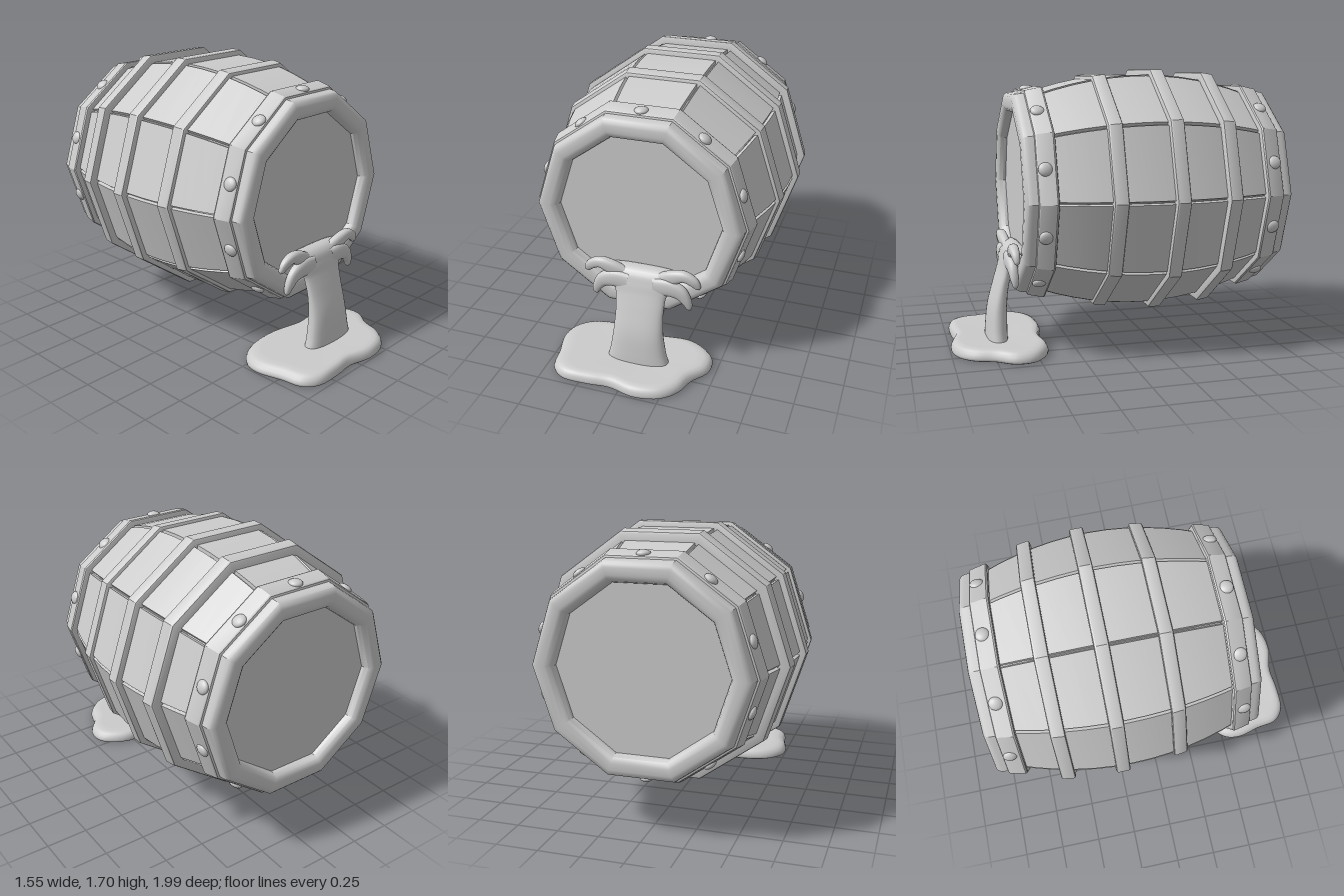
import * as THREE from 'three';
import { toCreasedNormals } from 'three/addons/utils/BufferGeometryUtils.js';

const material = new THREE.MeshStandardMaterial({ color: 0xcccccc });
const SIDES = 10, STEP = Math.PI / 5, HALF = Math.PI / 10;
const CENTRE_Y = 0.962, CENTRE_Z = -0.195;

function add(parent, geometry, name) {
  const mesh = new THREE.Mesh(geometry, material);
  mesh.name = name;
  parent.add(mesh);
  return mesh;
}

// Bulge of the barrel: distance from the axis to the middle of a stave
const apothem = (z) => 0.705 - 0.265 * z * z;

// Ten-sided ring around the z axis; profile points are [corner radius, z]
function decagon(profile) {
  const points = profile.map(([r, z]) => new THREE.Vector2(r, z));
  const g = new THREE.LatheGeometry(points, SIDES, Math.PI / 2).rotateX(Math.PI / 2);
  return toCreasedNormals(g, 0.6);
}

// Smooth skin over a list of rings with equal point counts
function loft(rings) {
  const n = rings[0].length, index = [];
  for (let i = 0; i < rings.length - 1; i++) {
    for (let j = 0; j < n; j++) {
      const a = i * n + j, b = i * n + (j + 1) % n;
      index.push(a, b, b + n, a, b + n, a + n);
    }
  }
  const g = new THREE.BufferGeometry().setFromPoints(rings.flat());
  g.setIndex(index);
  g.computeVertexNormals();
  return g;
}

// Oval sweep; stations are [x, y, z, radius along the hint axis, other radius]
function sweep(stations, hint, steps = 28, sides = 20) {
  const path = new THREE.CatmullRomCurve3(stations.map((s) => new THREE.Vector3(s[0], s[1], s[2])));
  const size = new THREE.CatmullRomCurve3(stations.map((s) => new THREE.Vector3(s[3], s[4], 0)));
  const rings = [];
  for (let i = 0; i <= steps; i++) {
    const t = i / steps, p = path.getPoint(t), s = size.getPoint(t), dir = path.getTangent(t);
    const u = hint.clone().addScaledVector(dir, -hint.dot(dir)).normalize();
    const v = dir.clone().cross(u);
    const ring = [];
    for (let j = 0; j < sides; j++) {
      const a = (j / sides) * Math.PI * 2, c = Math.cos(a), d = Math.sin(a);
      const box = (k) => Math.sign(k) * Math.abs(k) ** 0.8;
      ring.push(p.clone().addScaledVector(u, box(c) * s.x).addScaledVector(v, box(d) * s.y));
    }
    rings.push(ring);
  }
  return loft(rings);
}

function createBarrel() {
  const barrel = new THREE.Group();
  barrel.name = 'barrel';
  barrel.position.set(0, CENTRE_Y, CENTRE_Z);

  // Inner shell seen through the gaps between staves
  const shell = [];
  for (let i = 0; i <= 12; i++) {
    const z = -0.7 + (1.4 * i) / 12;
    shell.push([(apothem(z) - 0.022) / Math.cos(HALF), z]);
  }
  add(barrel, decagon(shell), 'innerShell');

  // Bowed staves, one per side
  const stave = new THREE.BoxGeometry(1, 0.04, 1.34, 1, 1, 12);
  const pos = stave.attributes.position;
  for (let i = 0; i < pos.count; i++) {
    const a = apothem(pos.getZ(i));
    pos.setX(i, Math.sign(pos.getX(i)) * (a * Math.tan(HALF) - 0.011));
    pos.setY(i, a + pos.getY(i) - 0.02);
  }
  const staveGeometry = toCreasedNormals(stave, 0.6);
  for (let i = 0; i < SIDES; i++) add(barrel, staveGeometry, 'stave').rotation.z = i * STEP;

  // Three hoops with softened edges, tilted along the bulge
  for (const [z, r, slope] of [[0.29, 0.739, -0.15], [-0.065, 0.774, 0], [-0.392, 0.749, 0.15]]) {
    const section = [[-0.07, -0.042], [-0.01, -0.042], [-0.003, -0.038], [0, -0.03],
      [0, 0.03], [-0.003, 0.038], [-0.01, 0.042], [-0.07, 0.042]];
    add(barrel, decagon(section.map(([d, w]) => [r + d + slope * w, z + w])), 'hoop');
  }

  // Matching ends: band, rounded lip, recessed head and rivets
  const rimGeometry = decagon([[0.58, 0.622], [0.655, 0.622], [0.664, 0.626], [0.668, 0.635],
    [0.648, 0.725], [0.642, 0.732], [0.63, 0.735], [0.627, 0.765], [0.62, 0.787], [0.605, 0.8],
    [0.585, 0.805], [0.545, 0.805], [0.525, 0.8], [0.51, 0.788], [0.5, 0.765], [0.497, 0.745]]);
  const head = new THREE.CircleGeometry(0.5, SIDES);
  const rivet = new THREE.SphereGeometry(1, 16, 10);
  for (const turn of [0, Math.PI]) {
    const end = new THREE.Group();
    end.name = turn ? 'backEnd' : 'frontEnd';
    end.rotation.y = turn;
    barrel.add(end);
    add(end, rimGeometry, 'rim');
    add(end, head, 'head').position.z = 0.747;
    for (let i = 0; i < SIDES; i++) {
      const a = HALF + i * STEP;
      const m = add(end, rivet, 'rivet');
      m.position.set(Math.cos(a) * 0.622, Math.sin(a) * 0.622, 0.688);
      m.scale.set(0.022, 0.04, 0.042);
      m.rotation.z = a;
    }
  }
  return barrel;
}

function createSpill() {
  const spill = new THREE.Group();
  spill.name = 'spill';
  const X = new THREE.Vector3(1, 0, 0), Z = new THREE.Vector3(0, 0, 1), MID = 0.035;

  // Puddle: wavy outline stacked into a low rounded slab
  const outline = new THREE.CatmullRomCurve3([[-0.5, 0.62], [-0.465, 0.77], [-0.44, 0.9],
    [-0.36, 0.965], [-0.2, 0.972], [-0.06, 0.96], [0.1, 0.995], [0.25, 0.965], [0.34, 0.88],
    [0.385, 0.76], [0.46, 0.65], [0.45, 0.53], [0.3, 0.43], [0.08, 0.44], [-0.15, 0.4],
    [-0.38, 0.43], [-0.48, 0.52]].map(([x, z]) => new THREE.Vector3(x, 0, z)), true)
    .getPoints(72).slice(0, 72);
  const layers = [[0.001, 0], [0.97, 0], [0.995, 0.006], [1, 0.02], [0.985, 0.04], [0.95, 0.058],
    [0.89, 0.067], [0.8, 0.069], [0.4, 0.064], [0.001, 0.062]];
  add(spill, loft(layers.map(([s, y]) => outline.map((p) =>
    new THREE.Vector3(p.x * s, y, 0.7 + (p.z - 0.7) * s)))), 'puddle');

  // Stream pouring over the lip
  add(spill, sweep([[MID, 0.03, 0.71, 0.2, 0.065], [MID, 0.12, 0.708, 0.175, 0.062],
    [MID, 0.25, 0.7, 0.155, 0.055], [MID, 0.38, 0.677, 0.148, 0.042],
    [MID, 0.48, 0.652, 0.155, 0.036], [MID, 0.55, 0.635, 0.19, 0.034],
    [MID, 0.605, 0.612, 0.225, 0.032], [MID, 0.62, 0.57, 0.22, 0.025],
    [MID, 0.61, 0.53, 0.15, 0.004]], X, 40, 28), 'stream');

  // Curling drips on both sides of the stream
  const drips = [
    [[0.12, 0.585, 0.615, 0.03, 0.05], [0.19, 0.625, 0.625, 0.032, 0.045],
      [0.26, 0.648, 0.63, 0.03, 0.034], [0.32, 0.62, 0.628, 0.024, 0.03],
      [0.345, 0.585, 0.625, 0.014, 0.018], [0.35, 0.573, 0.624, 0.001, 0.001]],
    [[0.08, 0.55, 0.64, 0.03, 0.06], [0.17, 0.56, 0.638, 0.034, 0.055],
      [0.24, 0.535, 0.636, 0.03, 0.045], [0.28, 0.48, 0.632, 0.024, 0.03],
      [0.294, 0.435, 0.628, 0.015, 0.017], [0.298, 0.42, 0.626, 0.001, 0.001]],
  ];
  for (const side of [-1, 1]) {
    for (const drip of drips) {
      add(spill, sweep(drip.map(([x, ...rest]) => [MID + side * x, ...rest]), Z), 'drip');
    }
  }
  return spill;
}

export function createModel() {
  const model = new THREE.Group();
  model.name = 'spillingBarrel';
  model.add(createBarrel(), createSpill());
  return model;
}
